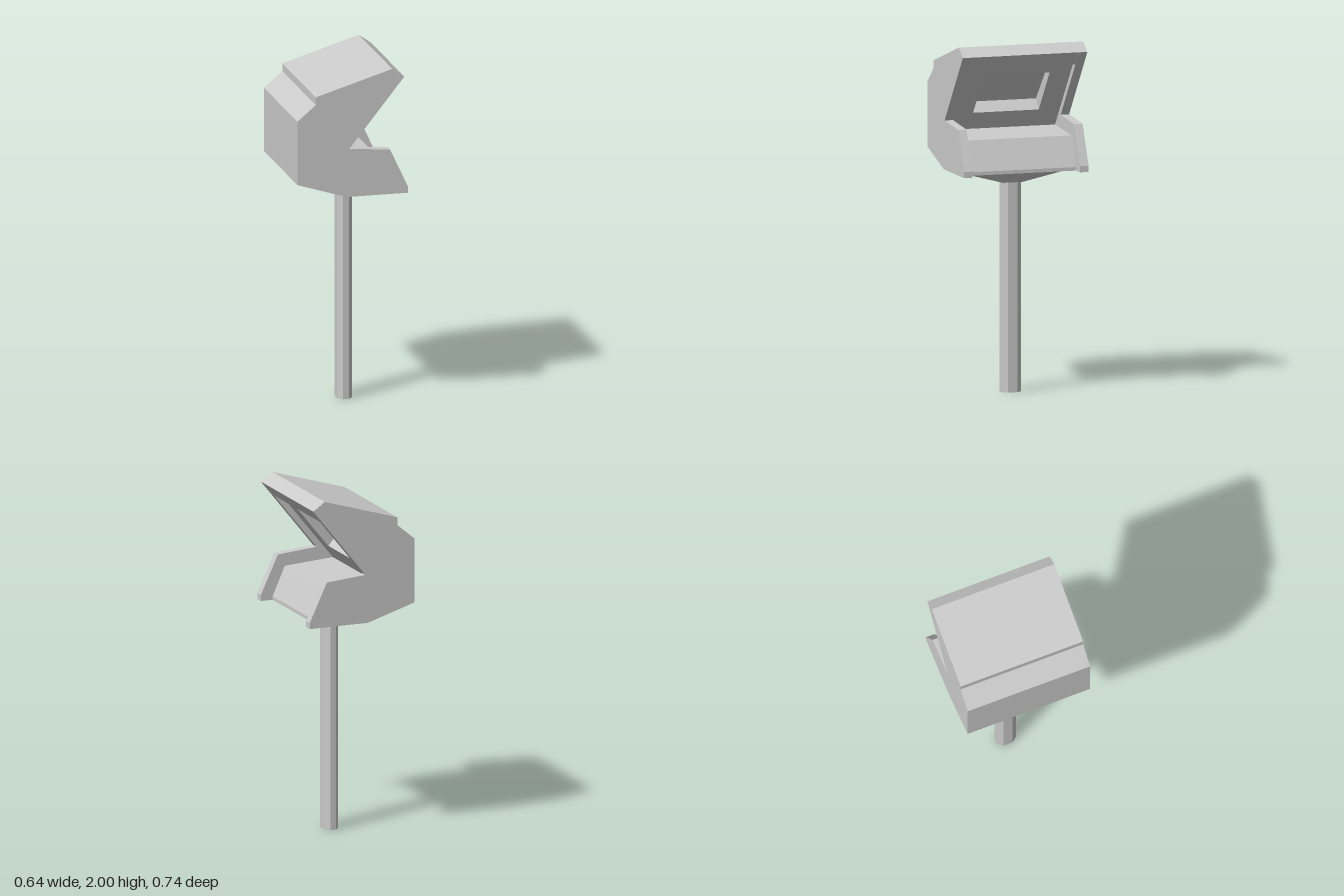
import * as THREE from 'three';

const material = new THREE.MeshStandardMaterial({ color: 0xcccccc, flatShading: true });

// Flat slab with an x-y outline, running from z0 to z1
function slab(name, points, z0, z1) {
  const shape = new THREE.Shape(points.map(([x, y]) => new THREE.Vector2(x, y)));
  const geometry = new THREE.ExtrudeGeometry(shape, { depth: z1 - z0, bevelEnabled: false });
  geometry.translate(0, 0, z0);
  const mesh = new THREE.Mesh(geometry, material);
  mesh.name = name;
  return mesh;
}

// Four-sided funnel between two rectangles given as [xMin, xMax, zHalf, y]
function funnel(name, low, high) {
  const geometry = new THREE.BoxGeometry(1, 1, 1);
  const p = geometry.attributes.position;
  for (let i = 0; i < p.count; i++) {
    const [x0, x1, z, y] = p.getY(i) > 0 ? high : low;
    p.setXYZ(i, p.getX(i) > 0 ? x1 : x0, y, p.getZ(i) > 0 ? z : -z);
  }
  geometry.computeVertexNormals();
  const mesh = new THREE.Mesh(geometry, material);
  mesh.name = name;
  return mesh;
}

export function createModel() {
  const group = new THREE.Group();
  group.name = 'consoleOnPost';

  // Back, shared by the side panels and the core
  const hood = [[0.3, 1.95], [0.23, 2], [-0.215, 1.865], [-0.215, 1.82], [-0.322, 1.73]];
  const base = [[-0.322, 1.36], [-0.035, 1.27]];

  // Side panels stand proud of the desk and screen
  const panel = [...base, [0.322, 1.27], [0.322, 1.305], [0.217, 1.53], [-0.02, 1.55], ...hood];
  slabPair('sidePanel', panel, 0.32, 0.37);

  // Core: sloping desk below, sunken screen frame above
  const desk = [...base, [0.25, 1.27], [0.25, 1.29], [0.175, 1.46], [-0.12, 1.48]];
  const lip = [[0.196, 1.872], [0.236, 1.872], ...hood];
  slabPair('screenFrame', [...desk, ...lip], 0.195, 0.32);

  // Middle of the core with the screen sunk a second step
  const screen = [[-0.038, 1.583], [-0.085, 1.64], [0.085, 1.822], [0.156, 1.822]];
  group.add(slab('screenCore', [...desk, ...screen, ...lip], -0.195, 0.195));

  // Neck and chamfered post
  group.add(funnel('neck', [0, 0.085, 0.058, 1.195], [-0.035, 0.168, 0.32, 1.27]));
  const section = [
    [0.025, -0.058], [0.06, -0.058], [0.085, -0.028], [0.085, 0.028],
    [0.06, 0.058], [0.025, 0.058], [0, 0.028], [0, -0.028],
  ];
  const post = slab('post', section.map(([x, z]) => [x, -z]), 0, 1.2);
  post.geometry.rotateX(-Math.PI / 2);
  group.add(post);

  // Mirrored pair of slabs on both sides of z = 0
  function slabPair(name, points, z0, z1) {
    group.add(slab(name + 'Front', points, z0, z1), slab(name + 'Back', points, -z1, -z0));
  }

  return group;
}
